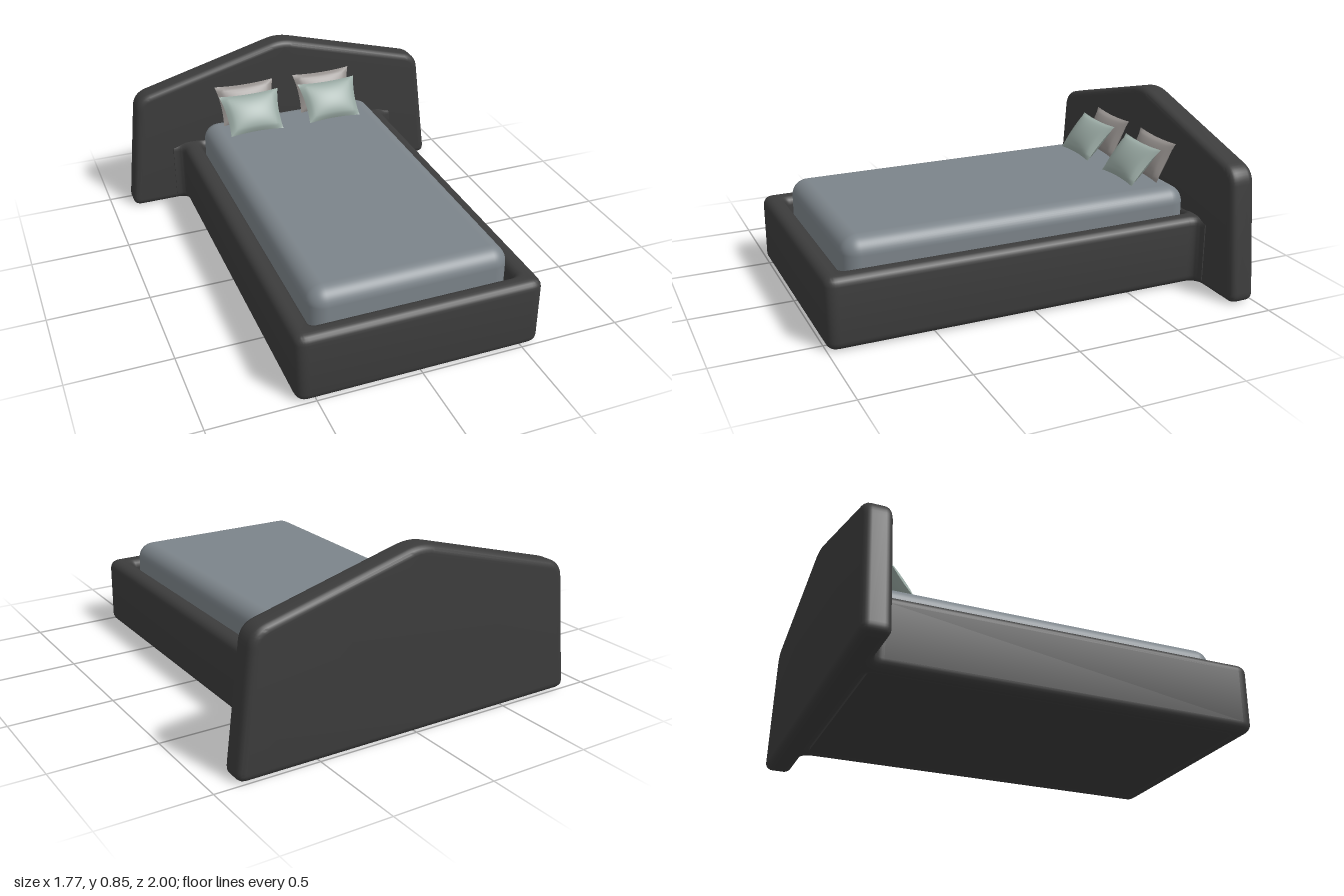
import * as THREE from 'three';
import { mergeGeometries, toCreasedNormals } from 'three/addons/utils/BufferGeometryUtils.js';
import { RoundedBoxGeometry } from 'three/addons/geometries/RoundedBoxGeometry.js';

const mat = (color) => new THREE.MeshStandardMaterial({ color });
const FRAME = mat(0x3c3c3c), BEDDING = mat(0x7c848a), BAND_END = mat(0x2a2c2e);
const CUSHION_FRONT = mat(0x9aaaa4), CUSHION_BACK = mat(0x96918e);

function add(parent, name, geometry, material, x = 0, y = 0, z = 0) {
  const mesh = new THREE.Mesh(geometry, material);
  mesh.name = name;
  mesh.position.set(x, y, z);
  parent.add(mesh);
  return mesh;
}

// Closed outline through the points, each corner rounded by its radius [x, y, r]
function roundedOutline(points, PathType = THREE.Shape) {
  const path = new PathType();
  const n = points.length;
  points.forEach(([x, y, r], i) => {
    const corner = new THREE.Vector2(x, y);
    const towards = ([px, py]) =>
      new THREE.Vector2(px, py).sub(corner).setLength(r).add(corner);
    const a = towards(points[(i + n - 1) % n]);
    const b = towards(points[(i + 1) % n]);
    if (i === 0) path.moveTo(a.x, a.y);
    else path.lineTo(a.x, a.y);
    if (r > 0) path.quadraticCurveTo(x, y, b.x, b.y);
  });
  path.closePath();
  return path;
}

// Padded slab: rounded edges that stay within the outline and the thickness
function paddedExtrude(shape, thickness, bevel) {
  const geometry = new THREE.ExtrudeGeometry(shape, {
    depth: thickness - 2 * bevel, bevelEnabled: true, bevelThickness: bevel,
    bevelSize: bevel, bevelOffset: -bevel, bevelSegments: 5, curveSegments: 8,
  });
  geometry.translate(0, 0, bevel);
  return toCreasedNormals(geometry, 0.6);
}

// Cushion: two bulging sheets that meet in a pinched seam
function cushionGeometry(width, height, halfThickness) {
  const front = new THREE.PlaneGeometry(2, 2, 16, 16);
  const p = front.attributes.position;
  for (let i = 0; i < p.count; i++) {
    const u = p.getX(i), v = p.getY(i);
    const bulge = Math.sqrt(Math.max(0, (1 - u * u) * (1 - v * v)));
    p.setXYZ(i,
      width / 2 * u * (1 - 0.07 * (1 - v * v)) * (1 + 0.06 * v),
      height / 2 * v * (1 - 0.08 * (1 - u * u)),
      halfThickness * bulge);
  }
  front.computeVertexNormals();
  const back = front.clone().rotateY(Math.PI);
  return mergeGeometries([front, back]);
}

export function createModel() {
  const bed = new THREE.Group();
  bed.name = 'bed';

  // Gabled headboard
  const gable = roundedOutline([
    [-0.89, 0, 0.05], [0.89, 0, 0.05], [0.815, 0.64, 0.07], [0, 0.862, 0.07], [-0.815, 0.64, 0.07],
  ]);
  add(bed, 'headboard', paddedExtrude(gable, 0.13, 0.035), FRAME, 0, 0, -1);

  // Padded frame in plan (shape y is -z), flaring where it meets the headboard
  const plan = roundedOutline([
    [-0.59, -1, 0.06], [0.59, -1, 0.06], [0.59, 0.865, 0.05], [0.645, 0.865, 0],
    [0.645, 0.93, 0], [-0.645, 0.93, 0], [-0.645, 0.865, 0], [-0.59, 0.865, 0.05],
  ]);
  plan.holes.push(roundedOutline([
    [-0.49, -0.9, 0.03], [-0.49, 0.85, 0.03], [0.49, 0.85, 0.03], [0.49, -0.9, 0.03],
  ], THREE.Path));
  add(bed, 'frame', paddedExtrude(plan, 0.345, 0.042).rotateX(-Math.PI / 2), FRAME);
  add(bed, 'frameBase', new THREE.BoxGeometry(1.08, 0.25, 1.8), FRAME, 0, 0.127, 0.04);

  // Mattress
  add(bed, 'mattress', new RoundedBoxGeometry(0.96, 0.26, 1.75, 6, 0.08), BEDDING, 0, 0.33, 0.005);

  // Two folded blanket bands wrapped over the mattress
  const wrap = roundedOutline([
    [-0.487, 0.26, 0], [0.487, 0.26, 0], [0.487, 0.475, 0.09], [-0.487, 0.475, 0.09],
  ]);
  for (const z of [-0.455, 0.41]) {
    const band = new THREE.ExtrudeGeometry(wrap, { depth: 0.245, bevelEnabled: false, curveSegments: 10 });
    const smooth = toCreasedNormals(band, 0.6);
    smooth.clearGroups();
    band.groups.forEach((g) => smooth.addGroup(g.start, g.count, g.materialIndex));
    add(bed, 'blanketBand', smooth, [BAND_END, BEDDING], 0, 0, z);
  }

  // Two pairs of cushions leaning on the headboard
  for (const x of [-0.232, 0.212]) {
    const front = add(bed, 'frontCushion', cushionGeometry(0.31, 0.225, 0.045), CUSHION_FRONT, x, 0.548, -0.695);
    front.rotation.x = -0.7;
    const back = add(bed, 'backCushion', cushionGeometry(0.31, 0.215, 0.04), CUSHION_BACK, x, 0.557, -0.81);
    back.rotation.x = -0.42;
  }
  return bed;
}
